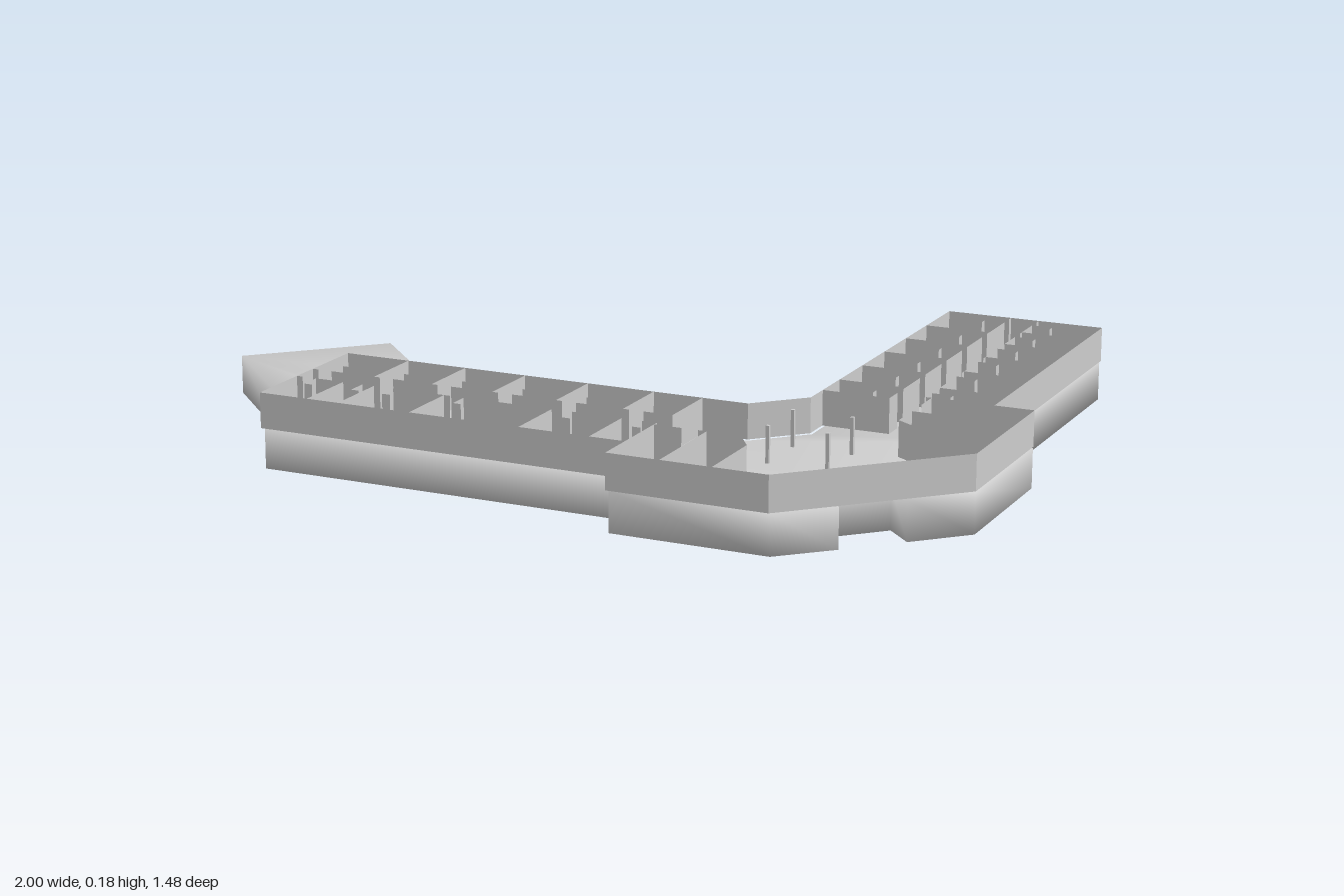
import * as THREE from 'three';
import { mergeGeometries, mergeVertices } from 'three/addons/utils/BufferGeometryUtils.js';

const BASE_H = 0.093, WALL_Y = 0.095, WALL_TOP = 0.178;

// Ground storey outline (x, z): two wings, recessed corner entrance, angled annex
const GROUND = [
  [-0.605, 0.64], [0.3, 0.64], [0.3, 0.735], [0.67, 0.735], [0.78, 0.63], [0.72, 0.57],
  [0.83, 0.46], [0.89, 0.52], [1, 0.41], [1, 0.04], [0.905, 0.04], [0.905, -0.735],
  [0.52, -0.735], [0.52, 0.15], [0.41, 0.26], [-0.395, 0.26], [-0.395, 0.095],
  [-0.49, 0.095], [-0.735, -0.155], [-1, 0.11], [-0.745, 0.365], [-0.655, 0.275], [-0.605, 0.275],
];

// Upper storey outline, without annex or recess
const UPPER = [
  [-0.612, 0.645], [0.295, 0.645], [0.295, 0.74], [0.668, 0.74], [1, 0.41], [1, 0.037],
  [0.907, 0.037], [0.907, -0.74], [0.516, -0.74], [0.516, 0.15], [0.41, 0.257], [-0.612, 0.257],
];

// Thin vertical panel between two plan points
function panel(a, b, y0 = WALL_Y, y1 = WALL_TOP) {
  const dx = b[0] - a[0], dz = b[1] - a[1];
  const g = new THREE.PlaneGeometry(Math.hypot(dx, dz), y1 - y0);
  g.rotateY(-Math.atan2(dz, dx));
  return g.translate((a[0] + b[0]) / 2, (y0 + y1) / 2, (a[1] + b[1]) / 2);
}

// Rooms on both sides of a corridor; at(u, v) maps along and across the wing to plan
function wingWalls(at, outer, inner) {
  const walls = [];
  const line = (u1, v1, u2, v2) => walls.push(panel(at(u1, v1), at(u2, v2)));
  const rows = [
    { cuts: outer, edge: 0, hall: 0.41, inward: -0.13 },
    { cuts: inner, edge: 1, hall: 0.59, inward: 0.13 },
  ];
  for (const { cuts, edge, hall, inward } of rows) {
    cuts.forEach((u, i) => {
      if (i > 0) line(u, edge, u, hall);
      if (i === cuts.length - 1) return;
      // corridor wall with a door opening and a small closet beside it
      const next = cuts[i + 1], dir = Math.sign(next - u);
      const door = u + dir * 0.015, jamb = u + dir * 0.05;
      line(u, hall, door, hall);
      line(jamb, hall, next, hall);
      line(jamb, hall, jamb, hall + inward);
      line(jamb, hall + inward, jamb + dir * 0.02, hall + inward);
    });
  }
  return mergeGeometries(walls);
}

export function createModel() {
  const group = new THREE.Group();
  const solid = new THREE.MeshStandardMaterial({ color: 0xcccccc });
  const thin = new THREE.MeshStandardMaterial({ color: 0xcccccc, side: THREE.DoubleSide });
  const add = (name, geometry, material) => {
    const mesh = new THREE.Mesh(geometry, material);
    mesh.name = name;
    group.add(mesh);
  };

  // Ground storey block with shared, smoothed normals
  const shape = new THREE.Shape(GROUND.map(([x, z]) => new THREE.Vector2(x, -z)));
  let base = new THREE.ExtrudeGeometry(shape, { depth: BASE_H, bevelEnabled: false });
  base.rotateX(-Math.PI / 2);
  base.deleteAttribute('normal');
  base.deleteAttribute('uv');
  base = mergeVertices(base);
  base.computeVertexNormals();
  add('groundStorey', base, solid);

  // Upper storey facade
  add('upperOuterWalls', mergeGeometries(
    UPPER.map((p, i) => panel(p, UPPER[(i + 1) % UPPER.length]))), thin);

  // Rooms of the two wings
  add('frontWingRooms', wingWalls((u, v) => [u, 0.645 - 0.388 * v],
    [-0.612, -0.49, -0.41, -0.23, 0.04, 0.21, 0.295],
    [-0.612, -0.45, -0.3, -0.145, 0.015, 0.18, 0.3]), thin);
  add('backWingRooms', wingWalls((u, v) => [0.907 - 0.391 * v, u],
    [-0.74, -0.615, -0.49, -0.355, -0.21, -0.05, 0.037],
    [-0.74, -0.58, -0.44, -0.3, -0.16, -0.02, 0.08]), thin);

  // Corner bay rooms, mirrored across the diagonal of the plan
  const bay = [];
  const flip = ([x, z]) => [z + 0.26, x - 0.26];
  for (const [a, b] of [
    [[0.295, 0.645], [0.295, 0.5]],
    [[0.295, 0.5], [0.36, 0.5]],
    [[0.4, 0.5], [0.5, 0.5]],
    [[0.42, 0.74], [0.42, 0.5]],
    [[0.54, 0.74], [0.54, 0.56]],
    [[0.5, 0.5], [0.54, 0.56]],
  ]) bay.push(panel(a, b), panel(flip(a), flip(b)));
  add('cornerRooms', mergeGeometries(bay), thin);

  // Four slim columns in the corner hall
  for (const x of [0.52, 0.66]) for (const z of [0.26, 0.4]) {
    const column = new THREE.BoxGeometry(0.008, WALL_TOP - BASE_H, 0.008);
    add('hallColumn', column.translate(x, (BASE_H + WALL_TOP) / 2, z), solid);
  }
  return group;
}
